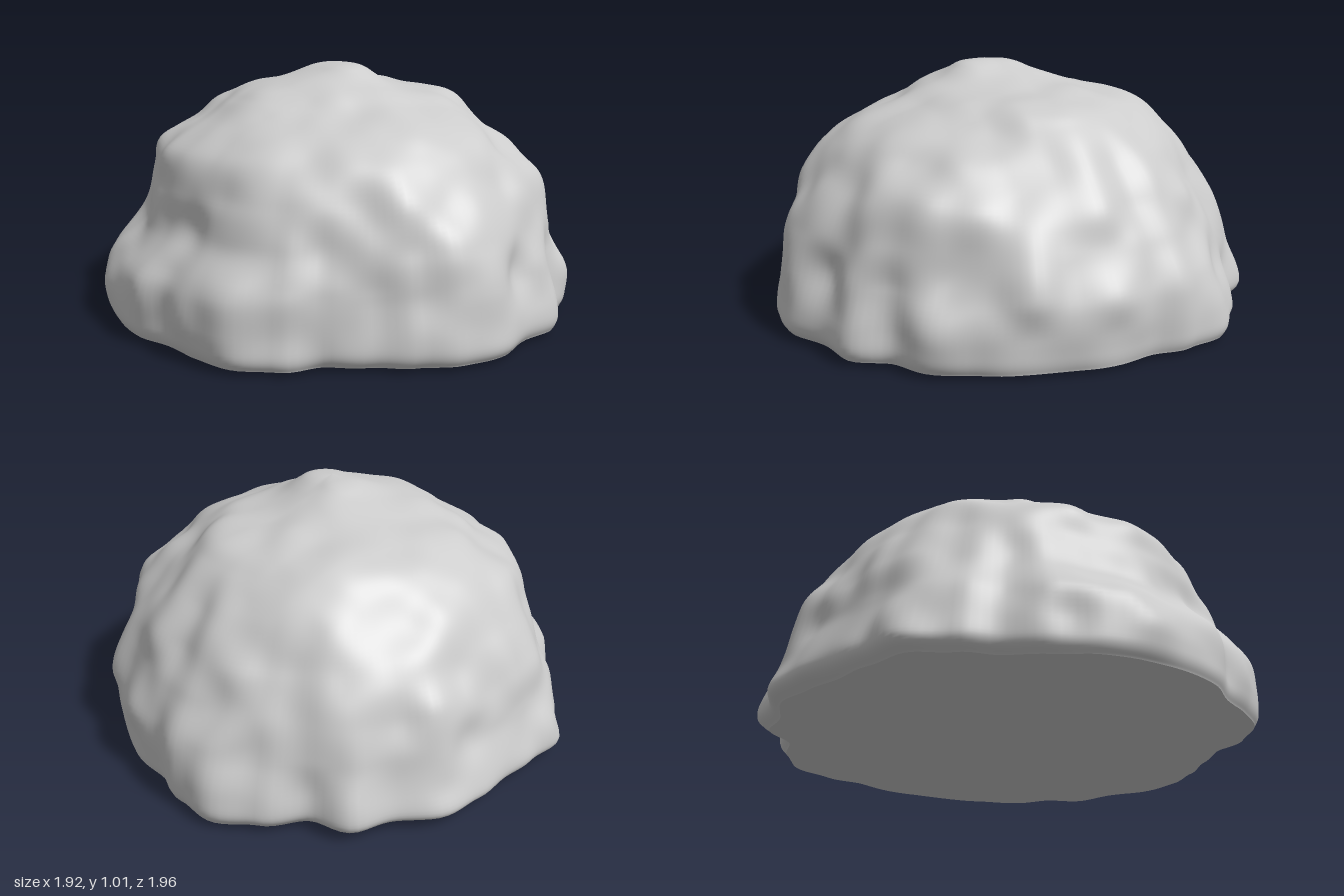
import * as THREE from 'three';

const AROUND = 200, ROWS = 100;

// Footprint radius every 10 degrees, from +x towards +z
const FOOTPRINT = [
  0.965, 0.95, 0.96, 0.96, 0.985, 0.935, 0.99, 0.95, 0.98,
  0.985, 0.93, 0.9, 0.89, 0.95, 0.98, 0.95, 0.93, 0.96,
  0.965, 0.96, 0.95, 0.92, 0.9, 0.96, 1.01, 0.96, 0.945,
  0.96, 0.99, 0.95, 1.01, 0.945, 1.0, 1.04, 1.0, 0.95];

// Side profiles: height, then radius towards +x, +z, -x, -z
const PROFILE = [
  [0.02, 0.97, 0.98, 0.98, 0.95], [0.08, 0.98, 1.0, 1.0, 1.01],
  [0.25, 0.97, 0.96, 0.98, 0.95], [0.4, 0.9, 0.94, 0.84, 0.92],
  [0.55, 0.84, 0.87, 0.8, 0.84], [0.7, 0.73, 0.74, 0.76, 0.72],
  [0.8, 0.62, 0.62, 0.58, 0.61], [0.87, 0.51, 0.42, 0.48, 0.46],
  [0.92, 0.26, 0.3, 0.38, 0.3], [0.97, 0.11, 0.2, 0.17, 0.16],
  [0.99, 0.05, 0.13, 0.08, 0.1], [0.998, 0, 0, 0, 0],
];
const sides = [1, 2, 3, 4].map(
  (k) => new THREE.SplineCurve(PROFILE.map((p) => new THREE.Vector2(p[k], p[0]))));

// Large lumps and hollows: x, y, z, radius, height
const LUMPS = [
  [0.52, 0.75, 0.28, 0.15, -0.045], [0.7, 0.35, 0.52, 0.13, -0.05],
  [0.8, 0.42, 0.25, 0.16, 0.03], [0.35, 0.3, 0.85, 0.13, -0.04],
  [-0.2, 0.6, 0.75, 0.16, 0.03], [0.1, 0.2, 0.93, 0.14, 0.02],
  [0.85, 0.3, -0.15, 0.14, 0.02], [0.65, 0.6, -0.4, 0.14, -0.03],
  [0.3, 0.85, -0.3, 0.2, 0.03], [-0.4, 0.3, 0.8, 0.16, 0.02],
  [-0.55, 0.6, -0.5, 0.22, 0.035], [-0.55, 0.55, 0.55, 0.2, 0.025],
  [0.55, 0.55, 0.55, 0.16, 0.025],
];

const smooth = (t) => t * t * (3 - 2 * t);
const mix = (a, b, t) => a + (b - a) * t;

function hash(x, y, z) {
  const s = Math.sin(x * 127.1 + y * 311.7 + z * 74.7) * 43758.5453;
  return s - Math.floor(s);
}

// Smooth value noise in -1..1
function noise(x, y, z) {
  const X = Math.floor(x), Y = Math.floor(y), Z = Math.floor(z);
  const u = smooth(x - X), v = smooth(y - Y), w = smooth(z - Z);
  const edge = (j, k) => mix(hash(X, Y + j, Z + k), hash(X + 1, Y + j, Z + k), u);
  return 2 * mix(mix(edge(0, 0), edge(1, 0), v), mix(edge(0, 1), edge(1, 1), v), w) - 1;
}

// Blend a cyclic list of values at position s
function cyclic(values, s) {
  const i = Math.floor(s), n = values.length;
  return mix(values[i % n], values[(i + 1) % n], smooth(s - i));
}

// Surface point at angle a and height parameter t
function surfacePoint(a, t) {
  const turn = a / (Math.PI * 2);
  const ends = sides.map((c) => c.getPoint(t));
  const y = ends[0].y;
  const foot = mix(cyclic(FOOTPRINT, turn * FOOTPRINT.length), 0.97, Math.min(1, y * 1.1));
  const r = cyclic(ends.map((e) => e.x), turn * 4) * foot;
  const p = new THREE.Vector3(
    r * Math.cos(a) - 0.03 * t ** 4, y, r * Math.sin(a) + 0.07 * t ** 4);

  // Push outwards from low in the core
  let d = 0.02 * noise(p.x * 4 + 7, p.y * 4 + 3, p.z * 4 + 5)
    + 0.024 * noise(p.x * 7 + 2, p.y * 7 + 8, p.z * 7 + 4) - 0.008;
  for (const [x, ly, z, size, height] of LUMPS) {
    const q = (p.x - x) ** 2 + (p.y - ly) ** 2 + (p.z - z) ** 2;
    d += height * Math.exp(-q / (size * size));
  }
  d *= mix(0.4, 1, Math.min(1, y / 0.25)) * mix(1, 0.4, smooth(t));
  const out = new THREE.Vector3(p.x, Math.max(0, p.y - 0.12), p.z).normalize();
  return p.addScaledVector(out, d);
}

function makeGeometry(positions, index) {
  const g = new THREE.BufferGeometry();
  g.setAttribute('position', new THREE.Float32BufferAttribute(positions, 3));
  g.setIndex(index);
  g.computeVertexNormals();
  return g;
}

// Closed rings stacked from first to last
function loft(rows, pointAt) {
  const positions = [], index = [];
  for (let j = 0; j <= rows; j++) {
    for (let i = 0; i < AROUND; i++) {
      positions.push(...pointAt((i / AROUND) * Math.PI * 2, j / rows).toArray());
      if (j === rows) continue;
      const a = j * AROUND + i, b = j * AROUND + ((i + 1) % AROUND);
      index.push(a, a + AROUND, b, b, a + AROUND, b + AROUND);
    }
  }
  return makeGeometry(positions, index);
}

export function createModel() {
  const group = new THREE.Group();
  group.name = 'boulder';
  const material = new THREE.MeshStandardMaterial({ color: 0xcccccc, side: THREE.DoubleSide });

  // Lumpy dome
  const dome = new THREE.Mesh(loft(ROWS, surfacePoint), material);
  dome.name = 'rockDome';

  // Slightly bulged underside meeting the dome's rim
  const underside = new THREE.Mesh(loft(10, (a, t) => {
    const rim = surfacePoint(a, 0);
    return new THREE.Vector3(rim.x * t, rim.y * t * t, rim.z * t);
  }), material);
  underside.name = 'underside';

  group.add(dome, underside);
  return group;
}
